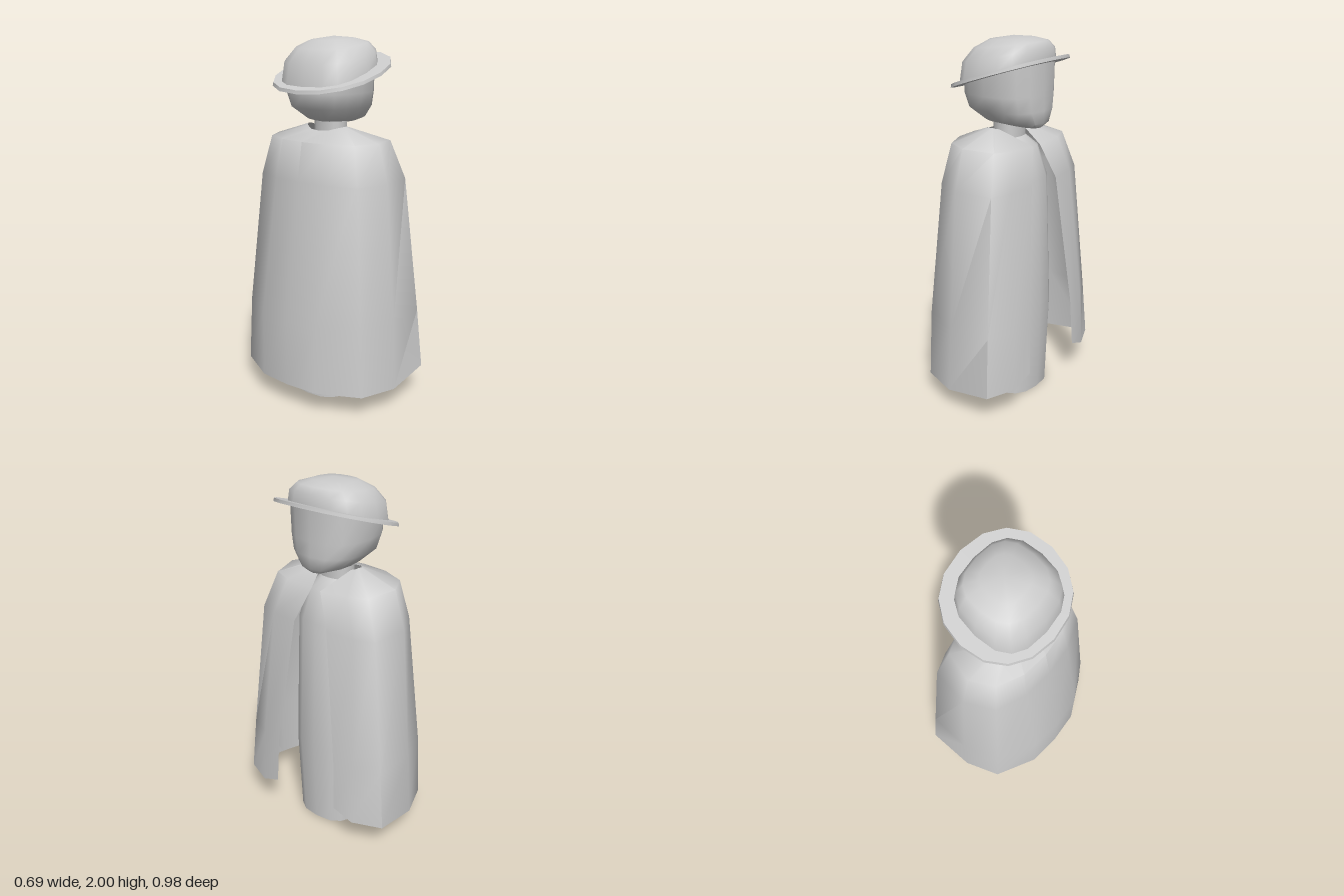
import * as THREE from 'three';
import { toCreasedNormals } from 'three/addons/utils/BufferGeometryUtils.js';

// Skin a list of point rows, ordered bottom to top
function skin(rows, closed, crease) {
  const n = rows[0].length;
  const index = [];
  for (let i = 0; i < rows.length - 1; i++) {
    for (let j = 0; j < (closed ? n : n - 1); j++) {
      const k = (j + 1) % n;
      const a = i * n + j, b = i * n + k, c = a + n, d = b + n;
      index.push(a, c, b, b, c, d);
    }
  }
  const geo = new THREE.BufferGeometry();
  geo.setAttribute('position', new THREE.Float32BufferAttribute(rows.flat(2), 3));
  geo.setIndex(index);
  return toCreasedNormals(geo, crease);
}

// Rounded-square ring; slope tilts it up toward the face (+x)
function ring([y, cx, rx, rz, slope = 0], power = 0.8, sides = 16) {
  const soft = (v) => Math.sign(v) * Math.pow(Math.abs(v), power);
  return Array.from({ length: sides }, (_, i) => {
    const t = (i / sides) * Math.PI * 2;
    const dx = rx * soft(Math.cos(t));
    return [cx + dx, y + slope * dx, rz * soft(Math.sin(t))];
  });
}

export function createModel() {
  const group = new THREE.Group();
  const grey = new THREE.MeshStandardMaterial({ color: 0xcccccc, side: THREE.DoubleSide });
  grey.name = 'plain grey';

  const add = (name, geo) => {
    const mesh = new THREE.Mesh(geo, grey);
    mesh.name = name;
    group.add(mesh);
  };
  const loft = (name, rings, power, crease = 0.9) =>
    add(name, skin(rings.map((r) => ring(r, power)), true, crease));

  // Rings: y, centre x, half-width x, half-width z, slope
  loft('body', [
    [0, 0.035, 0, 0],
    [0, 0.035, 0.205, 0.19],
    [0.5, 0.035, 0.22, 0.208],
    [1.25, 0.035, 0.19, 0.19],
    [1.42, 0.035, 0.14, 0.14],
    [1.48, 0.035, 0.07, 0.08],
  ], 0.75);

  loft('neck', [
    [1.42, 0.035, 0.075, 0.09],
    [1.57, 0.035, 0.075, 0.09],
  ]);

  loft('head', [
    [1.535, 0.12, 0, 0],
    [1.54, 0.12, 0.115, 0.055],
    [1.565, 0.085, 0.17, 0.13],
    [1.63, 0.045, 0.213, 0.195],
    [1.71, 0.033, 0.223, 0.216],
    [1.82, 0.035, 0.22, 0.223, 0.325],
  ], 0.78, 1.1);

  loft('hatBrim', [
    [1.805, 0.042, 0, 0, 0.325],
    [1.805, 0.042, 0.287, 0.33, 0.325],
    [1.823, 0.042, 0.283, 0.327, 0.325],
    [1.823, 0.042, 0, 0, 0.325],
  ], 0.92);

  loft('hatCrown', [
    [1.81, 0.025, 0.222, 0.25, 0.325],
    [1.9, 0.03, 0.213, 0.235, 0.2],
    [1.955, 0.045, 0.175, 0.185, 0.12],
    [1.985, 0.05, 0.11, 0.11, 0.06],
    [2.0, 0.06, 0, 0],
  ], 0.75, 1.2);

  // Cloak half-rows from the open front edge round to the middle of the back
  const half = [
    [[0.34, 0.22, 0.21], [0.33, 0.17, 0.33], [0.26, 0.165, 0.49], [-0.01, 0.12, 0.49],
      [-0.21, 0.12, 0.42], [-0.33, 0.12, 0.19], [-0.345, 0.12, 0]],
    [[0.325, 0.5, 0.2], [0.315, 0.5, 0.32], [0.245, 0.5, 0.46], [0, 0.5, 0.47],
      [-0.205, 0.5, 0.4], [-0.325, 0.5, 0.19], [-0.345, 0.5, 0]],
    [[0.265, 1.25, 0.11], [0.25, 1.25, 0.27], [0.21, 1.25, 0.38], [0, 1.25, 0.412],
      [-0.16, 1.25, 0.335], [-0.225, 1.25, 0.17], [-0.24, 1.25, 0]],
    [[0.215, 1.44, 0.03], [0.21, 1.45, 0.2], [0.17, 1.455, 0.305], [0, 1.46, 0.352],
      [-0.125, 1.46, 0.29], [-0.19, 1.46, 0.15], [-0.205, 1.46, 0]],
    [[0.04, 1.52, 0.095], [0.03, 1.525, 0.115], [0.02, 1.53, 0.125], [0, 1.53, 0.13],
      [-0.03, 1.525, 0.11], [-0.06, 1.51, 0.06], [-0.065, 1.505, 0]],
  ];
  const rows = half.map((r) => [
    ...r,
    ...r.slice(0, -1).reverse().map(([x, y, z]) => [x, y, -z]),
  ]);
  add('cloak', skin(rows, false, 1.1));

  return group;
}
